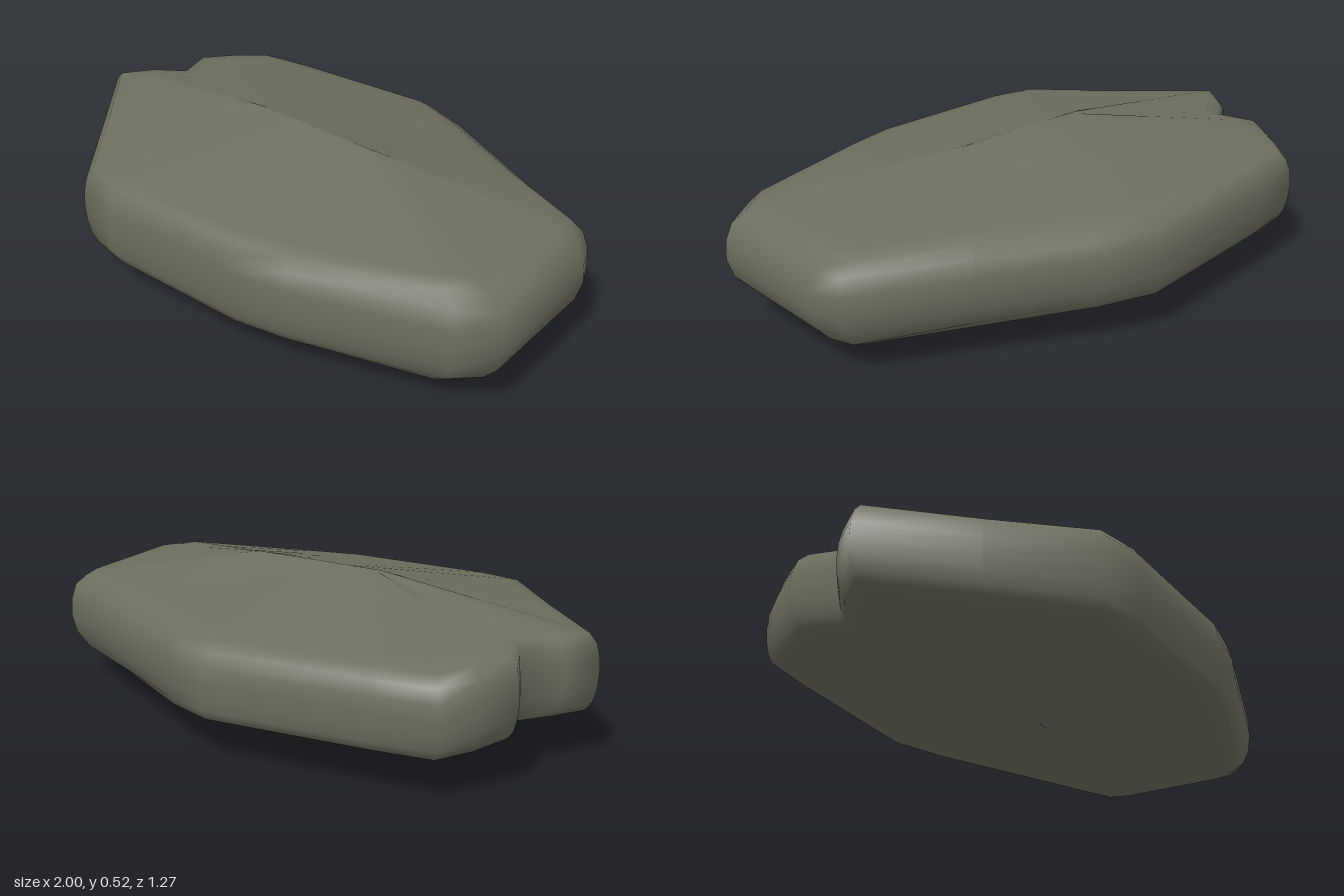
import * as THREE from 'three';
import { mergeVertices } from 'three/addons/utils/BufferGeometryUtils.js';

// Plan outline, clockwise from above: x, z, rim height, rim inset, underside height, underside inset
const OUTLINE = [
  [-1.0, 0.04, 0.425, 0.04, 0.17, 0.04],
  [-0.93, -0.07, 0.425, 0.04, 0.17, 0.04],
  [-0.825, -0.155, 0.42, 0.03, 0.16, 0.03],
  [-0.885, -0.3, 0.42, 0.05, 0.16, 0.05],
  [-0.82, -0.42, 0.41, 0.05, 0.15, 0.04],
  [-0.745, -0.535, 0.4, 0.06, 0.15, 0.03],
  [-0.56, -0.57, 0.4, 0.06, 0.15, 0.03],
  [0.02, -0.635, 0.4, 0.07, 0.15, 0.02],
  [0.21, -0.575, 0.4, 0.07, 0.14, 0.03],
  [0.58, -0.4, 0.4, 0.07, 0.11, 0.07],
  [0.94, -0.23, 0.4, 0.07, 0.08, 0.14],
  [0.98, -0.14, 0.4, 0.08, 0.075, 0.16],
  [1.0, 0.33, 0.4, 0.08, 0.075, 0.16],
  [0.89, 0.415, 0.41, 0.07, 0.075, 0.1],
  [0.38, 0.59, 0.4, 0.05, 0.11, 0.04],
  [0.2, 0.625, 0.4, 0.04, 0.115, 0.03],
  [-0.35, 0.635, 0.4, 0.04, 0.115, 0.03],
  [-0.51, 0.605, 0.4, 0.04, 0.12, 0.03],
  [-0.75, 0.33, 0.41, 0.04, 0.15, 0.03],
];

// Flat ridge on top and flat keel underneath
const RIDGE = { x0: -0.23, x1: 0.27, z: 0.03, y: 0.52 };
const KEEL = { x0: -0.1, x1: 0.22, z: 0.12, y: 0 };

// Point of the spine that an outline point leans towards
const spinePoint = (s, x) =>
  new THREE.Vector3(THREE.MathUtils.mapLinear(x, -1, 1, s.x0, s.x1), s.y, s.z);

// Outline point pulled towards the spine by a distance, set at height y
function inset(s, x, z, d, y) {
  const target = spinePoint(s, x).setY(0);
  const p = new THREE.Vector3(x, 0, z);
  return p.add(target.sub(p).setLength(d)).setY(y);
}

// One vertical cross-section from the ridge over the wall to the keel
function section([x, z, topY, topIn, lowY, lowIn]) {
  const h = topY - lowY;
  const rim = inset(RIDGE, x, z, topIn, topY);
  const foot = inset(KEEL, x, z, lowIn, lowY);
  const ridge = spinePoint(RIDGE, x);
  const keel = spinePoint(KEEL, x);
  return [
    ridge,
    ...[0.85, 0.5, 0.1].map((t) => rim.clone().lerp(ridge, t)),
    rim,
    inset(RIDGE, x, z, topIn * 0.35, topY - h * 0.12),
    inset(RIDGE, x, z, topIn * 0.06, topY - h * 0.3),
    inset(KEEL, x, z, 0, lowY + h * 0.5),
    inset(KEEL, x, z, lowIn * 0.12, lowY + h * 0.3),
    inset(KEEL, x, z, lowIn * 0.45, lowY + h * 0.12),
    foot,
    ...[0.1, 0.5, 0.85].map((t) => foot.clone().lerp(keel, t)),
    keel,
  ];
}

function slabGeometry() {
  const sections = OUTLINE.map(section);
  const n = sections.length;
  const rows = sections[0].length;
  const positions = sections.flatMap((s) => s.flatMap((p) => p.toArray()));
  const index = [];
  for (let i = 0; i < n; i++) {
    const j = (i + 1) % n;
    for (let r = 0; r < rows - 1; r++) {
      const a = i * rows + r;
      const b = j * rows + r;
      index.push(a, b, b + 1, a, b + 1, a + 1);
    }
  }
  let geometry = new THREE.BufferGeometry();
  geometry.setAttribute('position', new THREE.Float32BufferAttribute(positions, 3));
  geometry.setIndex(index);
  geometry = mergeVertices(geometry, 1e-4);
  geometry.computeVertexNormals();
  return geometry;
}

export function createModel() {
  const group = new THREE.Group();
  group.name = 'rock';
  const stone = new THREE.MeshStandardMaterial({ color: 0x6d6d5f });
  stone.name = 'olive grey stone';
  const slab = new THREE.Mesh(slabGeometry(), stone);
  slab.name = 'rockSlab';
  group.add(slab);
  return group;
}
